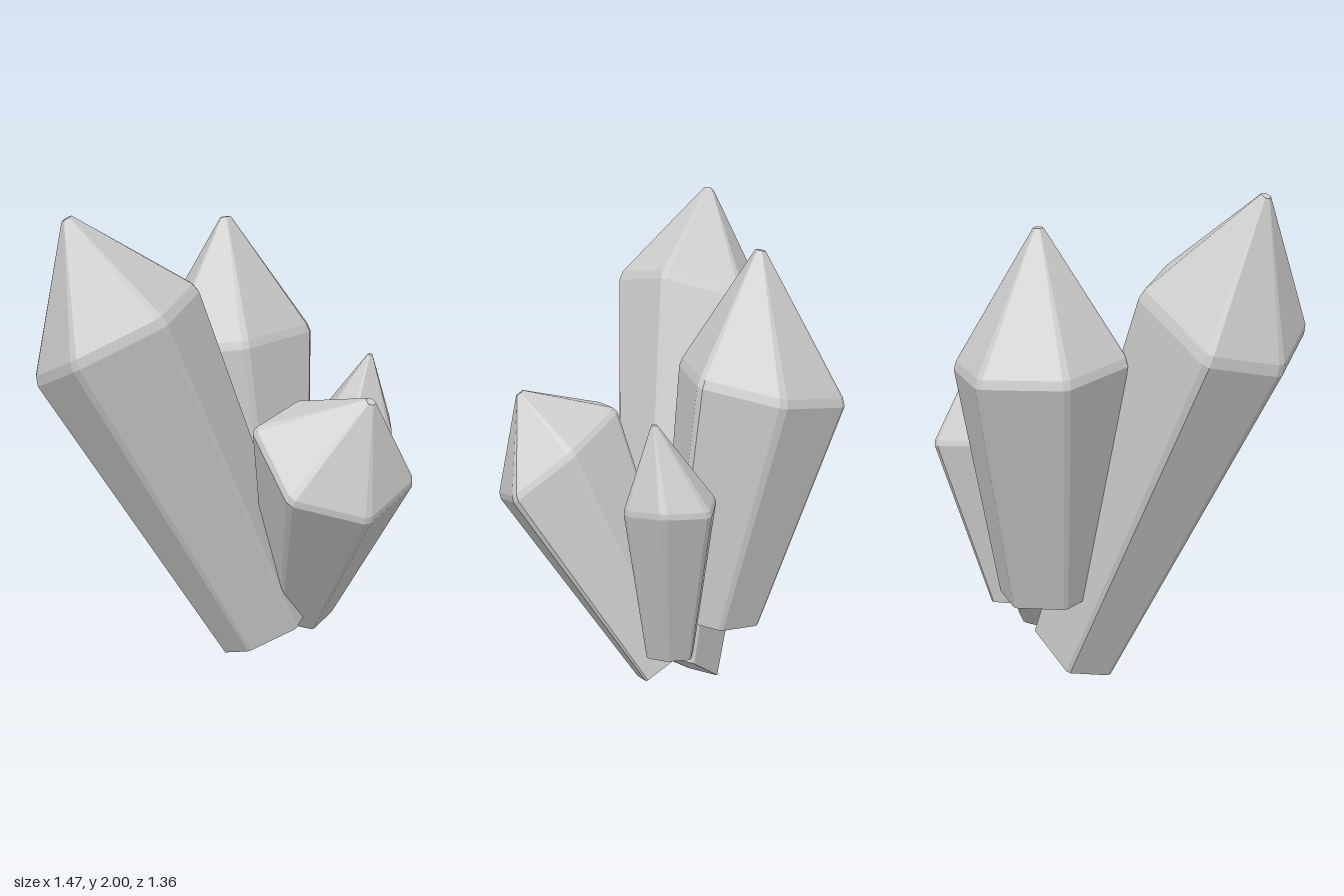
import * as THREE from 'three';

const V = (p) => new THREE.Vector3(...p);

// Each crystal: tip, shoulder corners (counterclockwise from above), base centre, base scale
const CRYSTALS = [
  {
    name: 'tallFrontCrystal', tip: [-0.56, 2.0, 0.46], base: [0.07, 0.12, -0.11], scale: 0.58,
    shoulder: [[-0.45, 1.48, 0.69], [-0.13, 1.65, 0.55], [-0.12, 1.71, 0.19],
      [-0.40, 1.62, 0.0], [-0.745, 1.38, 0.16], [-0.72, 1.33, 0.48]],
  },
  {
    name: 'backCrystal', tip: [-0.2, 1.875, -0.355], base: [-0.02, 0.37, -0.275], scale: 0.6,
    shoulder: [[-0.36, 1.35, -0.02], [-0.01, 1.4, -0.07], [0.165, 1.4, -0.44],
      [-0.07, 1.33, -0.68], [-0.41, 1.28, -0.655], [-0.56, 1.28, -0.33]],
  },
  {
    name: 'leaningCrystal', tip: [0.59, 1.3, 0.19], base: [0.18, 0.2, -0.23], scale: 0.45,
    shoulder: [[0.34, 0.94, 0.465], [0.63, 0.84, 0.32], [0.74, 0.92, 0.01],
      [0.53, 1.1, -0.1], [0.24, 1.22, 0.01], [0.13, 1.17, 0.29]],
  },
  {
    name: 'smallCrystal', tip: [0.41, 1.29, -0.49], base: [0.24, 0.28, -0.36], scale: 0.53,
    shoulder: [[0.21, 0.98, -0.35], [0.37, 0.97, -0.3], [0.53, 0.95, -0.45],
      [0.47, 0.97, -0.635], [0.29, 0.96, -0.695], [0.155, 0.97, -0.55]],
  },
];

// Swap every corner for two points so that the long edges are chamfered
function chamfer(corners, width) {
  return corners.flatMap((c, i) => [corners[(i + 5) % 6], corners[(i + 1) % 6]].map(
    (n) => c.clone().lerp(n, width / c.distanceTo(n))));
}

function crystal({ name, tip, base, scale, shoulder }) {
  const corners = shoulder.map(V);
  const centre = corners.reduce((s, c) => s.add(c), V([0, 0, 0])).divideScalar(6);
  const top = V(tip), foot = V(base);
  const ring = chamfer(corners, 0.018);
  const around = (p, s) => ring.map((c) => c.clone().sub(centre).multiplyScalar(s).add(p));
  const low = around(foot, scale), high = around(top, 0.06);

  // Cross-sections: foot, both sides of the shoulder bevel, blunt tip
  const sections = [
    low,
    ring.map((c, i) => c.clone().lerp(low[i], 0.014)),
    ring.map((c, i) => c.clone().lerp(high[i], 0.04)),
    high,
  ];
  const pos = [];
  const tri = (...pts) => pts.forEach((p) => pos.push(p.x, p.y, p.z));
  const n = ring.length;
  for (let i = 0; i < n; i++) {
    const j = (i + 1) % n;
    for (let k = 0; k < sections.length - 1; k++) {
      const a = sections[k], b = sections[k + 1];
      tri(a[i], a[j], b[j]);
      tri(a[i], b[j], b[i]);
    }
    tri(high[i], high[j], top);
    tri(low[j], low[i], foot);
  }
  const geo = new THREE.BufferGeometry();
  geo.setAttribute('position', new THREE.Float32BufferAttribute(pos, 3));
  geo.computeVertexNormals();
  const mesh = new THREE.Mesh(geo, new THREE.MeshStandardMaterial({ color: 0xcccccc, flatShading: true }));
  mesh.name = name;
  return mesh;
}

export function createModel() {
  const group = new THREE.Group();
  group.name = 'crystalCluster';
  CRYSTALS.forEach((c) => group.add(crystal(c)));
  return group;
}
